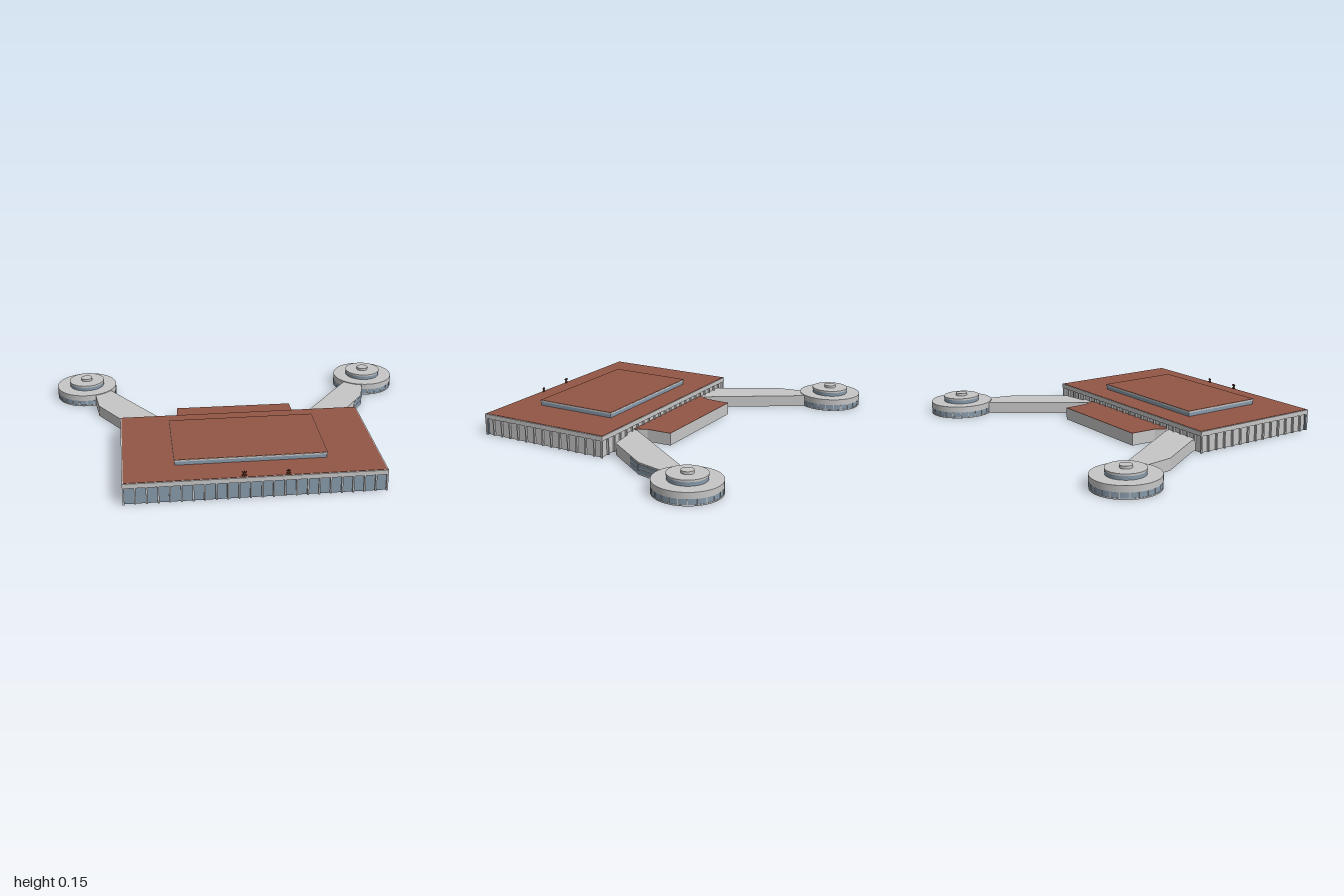
import * as THREE from 'three';

export function createModel() {
  const model = new THREE.Group();
  const mat = (name, color) => {
    const m = new THREE.MeshStandardMaterial({ color });
    m.name = name;
    return m;
  };
  const concrete = mat('concrete', 0xc6c6c6);
  const roofing = mat('red brown roofing', 0x935645);
  const glass = mat('blue grey glass', 0x8799aa);
  const dark = mat('dark brown metal', 0x5a2a20);

  function add(parent, name, geometry, material) {
    const mesh = new THREE.Mesh(geometry, material);
    mesh.name = name;
    parent.add(mesh);
    return mesh;
  }
  // Box given by its limits on each axis
  function block(parent, name, material, x0, x1, y0, y1, z0, z1) {
    const mesh = add(parent, name, new THREE.BoxGeometry(x1 - x0, y1 - y0, z1 - z0), material);
    mesh.position.set((x0 + x1) / 2, (y0 + y1) / 2, (z0 + z1) / 2);
    return mesh;
  }
  // Plan outline of [x, z] points raised from y0 to y1
  function prism(parent, name, material, points, y0, y1) {
    const shape = new THREE.Shape(points.map(([x, z]) => new THREE.Vector2(x, -z)));
    const geometry = new THREE.ExtrudeGeometry(shape, { depth: y1 - y0, bevelEnabled: false });
    geometry.rotateX(-Math.PI / 2);
    geometry.translate(0, y0, 0);
    return add(parent, name, geometry, material);
  }
  function group(name) {
    const g = new THREE.Group();
    g.name = name;
    model.add(g);
    return g;
  }

  // Main hall: recessed walls, glazed front, roof slab
  const hall = group('mainHall');
  const X0 = -0.637, X1 = 0.657, Z0 = 0.005, Z1 = 0.757, EAVE = 0.09, TOP = 0.114;
  block(hall, 'hallWalls', concrete, X0 + 0.012, X1 - 0.012, 0, EAVE, Z0 + 0.012, Z1 - 0.016);
  block(hall, 'frontGlazing', glass, X0 + 0.004, X1 - 0.004, 0, EAVE, Z1 - 0.016, Z1 - 0.012);
  block(hall, 'roofSlab', concrete, X0, X1, EAVE, TOP, Z0, Z1);
  block(hall, 'hallRoofing', roofing, X0 + 0.006, X1 - 0.006, TOP, TOP + 0.002, Z0 + 0.004, Z1 - 0.006);

  // Vertical fins around the hall
  const W = 0.004, D = 0.012, across = 23, along = 14;
  for (let i = 0; i <= across; i++) {
    const x = X0 + W + (X1 - X0 - 2 * W) * i / across;
    block(hall, 'frontFin', concrete, x - W, x + W, 0, EAVE, Z1 - D, Z1 - 0.002);
    block(hall, 'backFin', concrete, x - W, x + W, 0, EAVE, Z0 + 0.002, Z0 + D);
  }
  for (let i = 1; i < along; i++) {
    const z = Z0 + (Z1 - Z0) * i / along;
    block(hall, 'rightFin', concrete, X0 + 0.001, X0 + D, 0, EAVE, z - W, z + W);
    block(hall, 'leftFin', concrete, X1 - D, X1 - 0.001, 0, EAVE, z - W, z + W);
  }

  // Raised clerestory on the roof
  const upper = group('clerestory');
  block(upper, 'clerestoryGlazing', glass, -0.376, 0.382, TOP, 0.136, 0.138, 0.592);
  block(upper, 'clerestorySlab', concrete, -0.38, 0.386, 0.136, 0.144, 0.134, 0.596);
  block(upper, 'clerestoryRoofing', roofing, -0.378, 0.384, 0.144, 0.146, 0.136, 0.594);

  // Low wing at the back
  const wing = group('backWing');
  const wingPlan = [[-0.357, 0.017], [0.347, 0.017], [0.347, 0], [0.32, -0.05], [0.315, -0.185], [-0.32, -0.19], [-0.327, -0.05], [-0.357, 0]];
  prism(wing, 'wingWalls', concrete, wingPlan, 0, 0.065);
  prism(wing, 'wingRoofing', roofing, wingPlan, 0.065, 0.067);

  // Connecting corridors to the round pavilions
  const corridors = group('corridors');
  const leftPlan = [[0.345, 0.017], [0.43, 0.017], [0.43, 0], [0.575, -0.02], [0.755, -0.27], [0.795, -0.43], [0.70, -0.48], [0.345, 0]];
  const rightPlan = [[-0.365, 0.017], [-0.365, 0], [-0.69, -0.50], [-0.78, -0.46], [-0.757, -0.285], [-0.58, 0], [-0.58, 0.017]];
  prism(corridors, 'leftCorridor', concrete, leftPlan, 0, 0.062);
  prism(corridors, 'rightCorridor', concrete, rightPlan, 0, 0.062);

  // Window strips on the outer face of the left corridor
  function strip(a, b, y0, y1) {
    const dx = b[0] - a[0], dz = b[1] - a[1];
    const mesh = add(corridors, 'corridorWindow', new THREE.BoxGeometry(Math.hypot(dx, dz), y1 - y0, 0.004), glass);
    mesh.position.set((a[0] + b[0]) / 2, (y0 + y1) / 2, (a[1] + b[1]) / 2);
    mesh.rotation.y = Math.atan2(-dz, dx);
  }
  for (const [y0, y1] of [[0.008, 0.03], [0.036, 0.054]]) {
    strip([0.694, -0.185], [0.755, -0.27], y0, y1);
    strip([0.755, -0.27], [0.787, -0.4], y0, y1);
  }

  // Round stepped pavilions with glazed bands
  function pavilion(name, x, z) {
    const g = group(name);
    g.position.set(x, 0, z);
    const disc = (part, material, r, y0, y1) => {
      add(g, part, new THREE.CylinderGeometry(r, r, y1 - y0, 48), material).position.y = (y0 + y1) / 2;
    };
    disc('base', concrete, 0.171, 0, 0.006);
    disc('lowerGlazing', glass, 0.169, 0.006, 0.034);
    disc('lowerDrum', concrete, 0.171, 0.034, 0.066);
    disc('upperGlazing', glass, 0.098, 0.066, 0.086);
    disc('upperSlab', concrete, 0.1, 0.086, 0.096);
    disc('roofCap', concrete, 0.032, 0.096, 0.11);
    for (let i = 0; i < 24; i++) {
      const a = i * Math.PI / 12;
      const bar = add(g, 'mullion', new THREE.BoxGeometry(0.004, 0.028, 0.004), concrete);
      bar.position.set(Math.sin(a) * 0.169, 0.02, Math.cos(a) * 0.169);
      bar.rotation.y = a;
    }
  }
  pavilion('leftPavilion', 0.829, -0.58);
  pavilion('rightPavilion', -0.829, -0.597);

  // Small crossed ornaments at the front roof edge
  for (const [x, h] of [[-0.05, 0.032], [0.165, 0.026]]) {
    const g = group('roofOrnament');
    g.position.set(x, TOP + h / 2, 0.742);
    for (const angle of [0, 0.8, -0.8]) {
      add(g, 'ornamentBar', new THREE.BoxGeometry(0.005, h, 0.004), dark).rotation.z = angle;
    }
  }

  return model;
}
